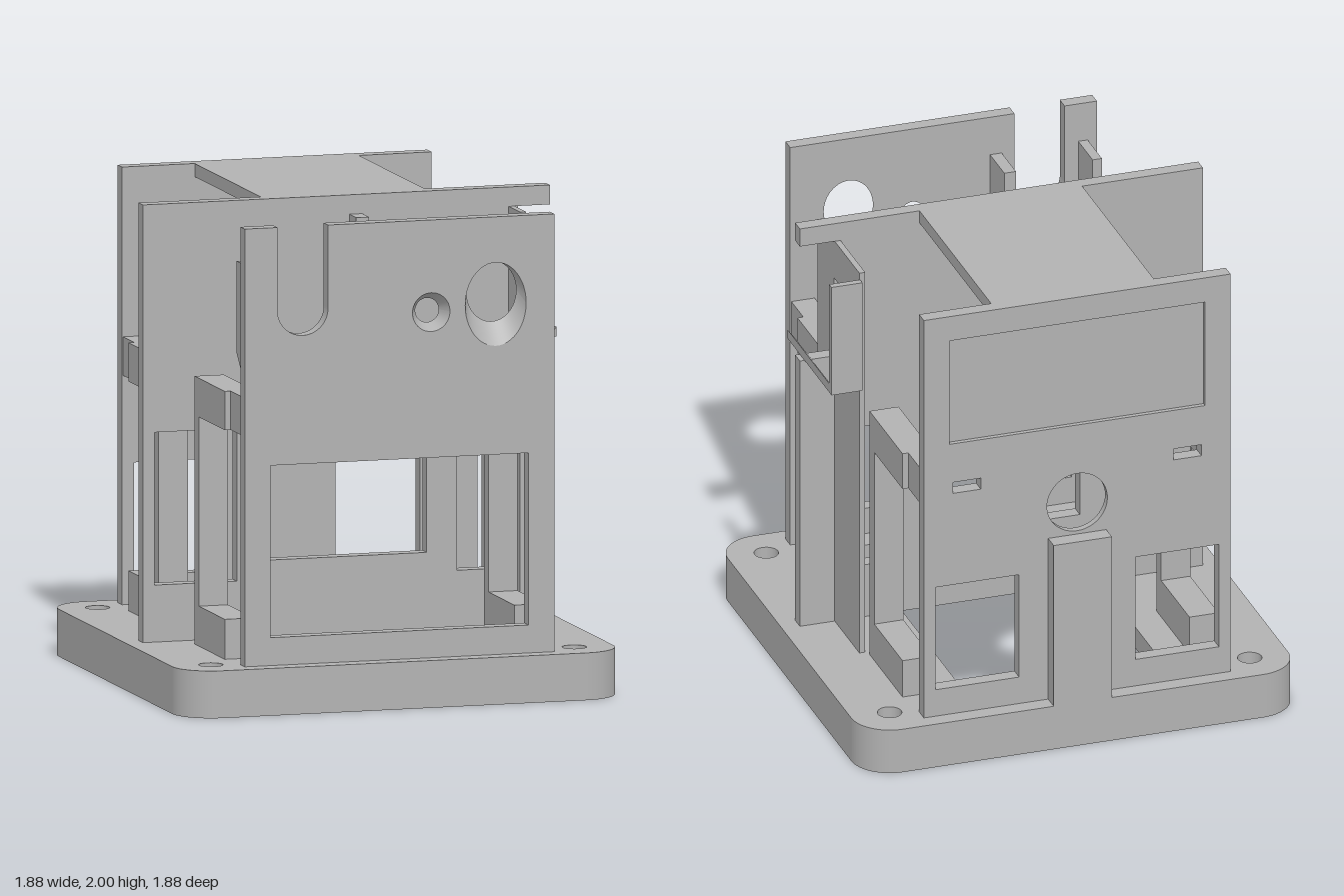
import * as THREE from 'three';

const grey = new THREE.MeshStandardMaterial({ color: 0xb2b2b2 });
grey.name = 'plain grey';

const poly = (C, pts) => new C(pts.map(([x, y]) => new THREE.Vector2(x, y)));
const rect = (x0, x1, y0, y1, C = THREE.Path) =>
  poly(C, [[x0, y0], [x1, y0], [x1, y1], [x0, y1]]);
const ellipse = (x, y, rx, ry = rx) =>
  new THREE.Path().absellipse(x, y, rx, ry, 0, Math.PI * 2, false);

// plate with holes, thickness from a to b
function plate(shape, holes, a, b) {
  shape.holes = holes;
  const g = new THREE.ExtrudeGeometry(shape, { depth: b - a, bevelEnabled: false, curveSegments: 24 });
  return g.translate(0, 0, a);
}
// same, but the outline is drawn in (z, y) and the thickness runs along x
const sidePlate = (shape, holes, x0, x1) => plate(shape, holes, -x1, -x0).rotateY(-Math.PI / 2);

// tapered hole lining: front ellipse to smaller back ellipse, plus the flat back ring
function taper(front, back, z0, z1) {
  const pos = [], idx = [], n = 48;
  const loops = [[front, z1], [back, z0], [back, z0], [front, z0]];
  for (const [[cx, cy, rx, ry], z] of loops)
    for (let i = 0; i <= n; i++) {
      const t = (i / n) * Math.PI * 2;
      pos.push(cx + rx * Math.cos(t), cy + ry * Math.sin(t), z);
    }
  for (const r of [0, 2])
    for (let i = 0; i < n; i++) {
      const a = r * (n + 1) + i, b = a + n + 1;
      idx.push(a, a + 1, b, a + 1, b + 1, b);
    }
  const g = new THREE.BufferGeometry();
  g.setAttribute('position', new THREE.Float32BufferAttribute(pos, 3));
  g.setIndex(idx);
  g.computeVertexNormals();
  return g;
}

export function createModel() {
  const model = new THREE.Group();
  model.name = 'instrumentFrame';
  const add = (name, geo) => {
    const m = new THREE.Mesh(geo, grey);
    m.name = name;
    model.add(m);
  };
  const box = (name, x0, x1, y0, y1, z0, z1) =>
    add(name, new THREE.BoxGeometry(x1 - x0, y1 - y0, z1 - z0)
      .translate((x0 + x1) / 2, (y0 + y1) / 2, (z0 + z1) / 2));

  const floor = 0.195;

  // rounded base in two layers; the lower one has the wider recess
  const baseLayer = (name, opening, y0, y1) => {
    const e = 0.94, c = 0.775, r = e - c;
    const s = new THREE.Shape();
    [[c, c], [-c, c], [-c, -c], [c, -c]].forEach(([x, y], i) =>
      s.absarc(x, y, r, i * Math.PI / 2, (i + 1) * Math.PI / 2, false));
    const holes = [opening];
    for (const x of [-c, c]) for (const y of [-c, c]) holes.push(ellipse(x, y, 0.05));
    add(name, plate(s, holes, y0, y1).rotateX(-Math.PI / 2));
  };
  baseLayer('baseLower', rect(-0.6, 0.6, -0.76, 0.78), 0, 0.1);
  baseLayer('baseUpper', rect(-0.425, 0.425, -0.71, 0.72), 0.1, floor);

  // front panel with open slot, window and tapered holes
  const fp = new THREE.Shape();
  fp.moveTo(-0.66, floor).lineTo(0.66, floor).lineTo(0.66, 2).lineTo(-0.305, 2).lineTo(-0.305, 1.658);
  fp.absarc(-0.413, 1.658, 0.108, 0, Math.PI, true);
  fp.lineTo(-0.521, 2).lineTo(-0.66, 2).closePath();
  const small = [0.135, 1.62, 0.08, 0.08], large = [0.41, 1.64, 0.13, 0.172];
  add('frontPanel', plate(fp, [rect(-0.55, 0.55, 0.31, 1.02), ellipse(...small), ellipse(...large)], 0.81, 0.87));
  add('smallHoleTaper', taper(small, [0.135, 1.62, 0.05, 0.05], 0.81, 0.87));
  add('largeHoleTaper', taper(large, [0.41, 1.685, 0.106, 0.125], 0.81, 0.87));

  // holder behind the slot: two cheeks and a sloped floor
  for (const [x0, x1] of [[-0.62, -0.58], [-0.25, -0.2]])
    add('slotHolderCheek', sidePlate(poly(THREE.Shape,
      [[0.775, 1.3], [0.81, 1.3], [0.81, 1.83], [0.63, 1.83], [0.63, 1.45]]), [], x0, x1));
  add('slotHolderFloor', sidePlate(poly(THREE.Shape,
    [[0.775, 1.3], [0.81, 1.3], [0.81, 1.47], [0.63, 1.47], [0.63, 1.45]]), [], -0.58, -0.25));

  // middle plate, notched at the side bracket
  add('middlePlate', plate(poly(THREE.Shape, [[-0.87, floor], [0.865, floor], [0.865, 1.4], [0.7, 1.4],
    [0.7, 1.92], [0.865, 1.92], [0.865, 2], [-0.87, 2]]),
  [rect(-0.34, 0.34, 0.51, 1.06), rect(-0.82, -0.47, 0.43, 1.06), rect(0.47, 0.68, 0.43, 1.06)], 0.09, 0.15));
  box('middlePost', 0.01, 0.065, 1.15, 1.92, 0.15, 0.245);
  box('topPlate', -0.35, 0.35, 1.945, 2, -0.81, 0.09);

  // back panel: inner pocket, through layer and outer display recess
  const backLayer = (name, extra, z0, z1) => {
    const holes = [...extra];
    for (const s of [-1, 1]) {
      holes.push(rect(s * 0.43 - 0.18, s * 0.43 + 0.18, 0.315, 0.78));
      holes.push(rect(s * 0.475 - 0.06, s * 0.475 + 0.06, 1.195, 1.245));
    }
    add(name, plate(rect(-0.66, 0.66, floor, 2, THREE.Shape), holes, z0, z1));
  };
  const port = () => ellipse(0, 1.07, 0.13);
  backLayer('backPanelInner', [rect(-0.165, 0.165, 0.81, 1.3)], -0.84, -0.81);
  backLayer('backPanelCore', [port()], -0.85, -0.84);
  backLayer('backPanelOuter', [port(), rect(-0.55, 0.55, 1.42, 1.89)], -0.87, -0.85);
  box('backRib', -0.125, 0.125, floor, 0.925, -0.94, -0.87);

  // side frames: stepped rail, leg and foot block, on four corners
  for (const s of [-1, 1]) for (const f of [-1, 1]) {
    const part = (name, w, y0, y1, z0, z1) =>
      box(name, ...(s > 0 ? [0.555, w] : [-w, -0.555]), y0, y1, ...(f > 0 ? [z0, z1] : [-z1, -z0]));
    part('sideRail', 0.68, 1.14, 1.3, 0.245, 0.66);
    part('sideRailEnd', 0.655, 1.14, 1.3, 0.66, 0.81);
    part('sideLeg', 0.68, floor, 1.14, 0.245, 0.305);
    part('footBlock', 0.68, floor, 0.36, 0.305, 0.66);
  }

  // side bracket: windowed wall, rear stop and small wedge rail
  add('bracketWall', sidePlate(rect(-0.22, 0.305, floor, 1.92, THREE.Shape),
    [rect(0.02, 0.1, 1.59, 1.75)], 0.69, 0.715));
  box('bracketRearStop', 0.712, 0.845, 1.4, 1.89, -0.25, -0.22);
  add('bracketRail', plate(poly(THREE.Shape, [[0.815, 1.4], [0.845, 1.4], [0.845, 1.44]]), [], -0.22, 0.305));

  return model;
}
